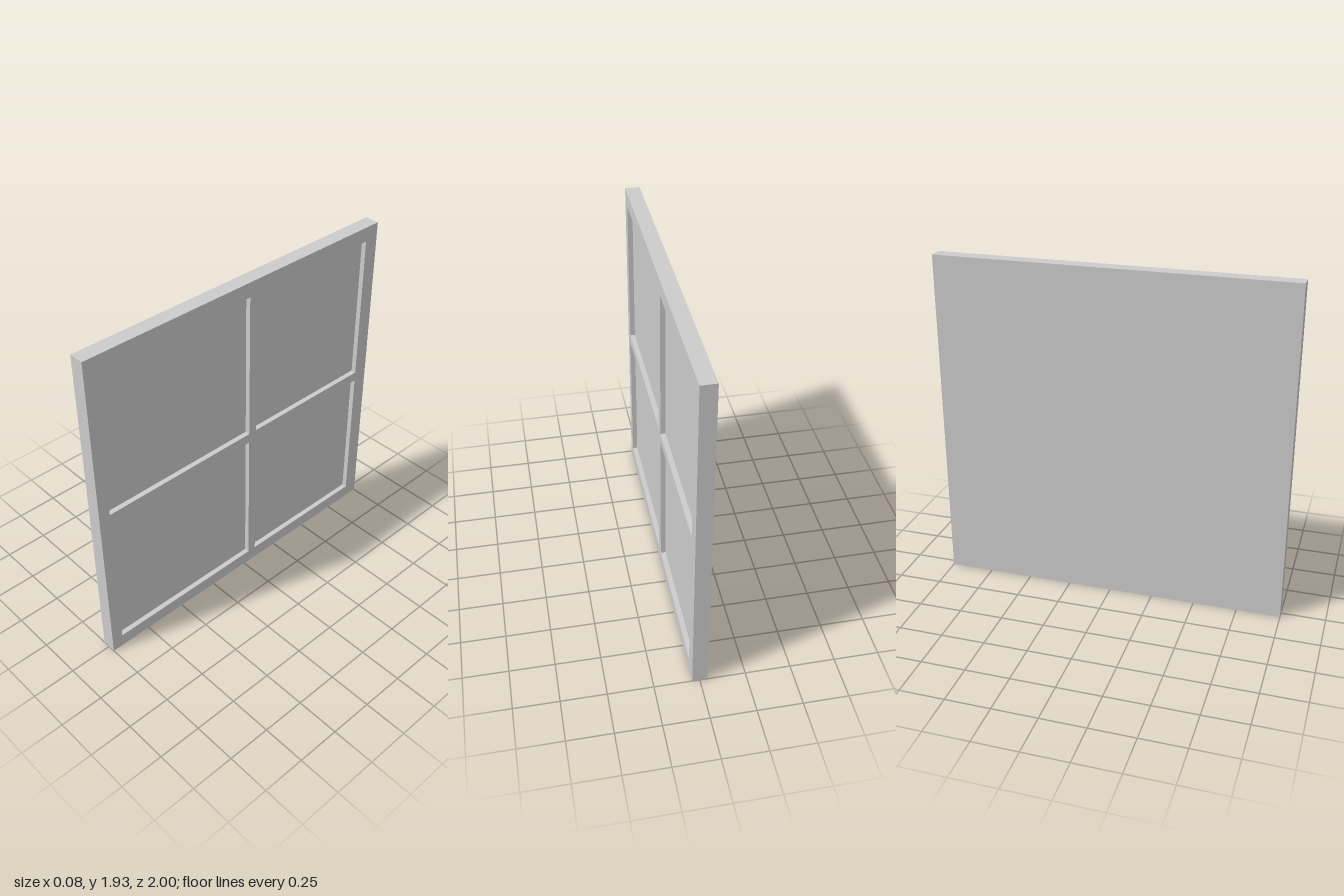
import * as THREE from 'three';

const HEIGHT = 1.93, WIDTH = 2, THICK = 0.084, DEPTH = 0.029;
const FACE_X = THICK / 2;

// Pane ranges: [min, max] along z and along y
const COLUMNS = [[-0.913, -0.088], [-0.035, 0.934]];
const ROWS = [[0.077, 0.918], [0.977, 1.845]];

// Box without its +x side; inward = true turns it into a recess seen from inside
function openBox(w, h, d, inward = false) {
  const geo = new THREE.BoxGeometry(w, h, d);
  const index = Array.from(geo.index.array).slice(6);
  geo.setIndex(inward ? index.reverse() : index);
  geo.computeVertexNormals();
  return geo;
}

function rectangle(path, u0, u1, v0, v1) {
  path.moveTo(u0, v0);
  path.lineTo(u1, v0);
  path.lineTo(u1, v1);
  path.lineTo(u0, v1);
  path.closePath();
  return path;
}

export function createModel() {
  const group = new THREE.Group();
  group.name = 'panelledWindow';
  const material = new THREE.MeshStandardMaterial({ color: 0xcccccc, flatShading: true });

  const add = (name, geometry, x = 0, y = 0, z = 0) => {
    const mesh = new THREE.Mesh(geometry, material);
    mesh.name = name;
    mesh.position.set(x, y, z);
    group.add(mesh);
  };

  // Outer slab: plain back and edges
  add('slab', openBox(THICK, HEIGHT, WIDTH), 0, HEIGHT / 2, 0);

  // Frame face with an opening per pane, and the recessed panes behind it
  const face = rectangle(new THREE.Shape(), -WIDTH / 2, WIDTH / 2, 0, HEIGHT);
  for (const [z0, z1] of COLUMNS) {
    for (const [y0, y1] of ROWS) {
      face.holes.push(rectangle(new THREE.Path(), -z1, -z0, y0, y1));
      add('recessedPane', openBox(DEPTH, y1 - y0, z1 - z0, true),
        FACE_X - DEPTH / 2, (y0 + y1) / 2, (z0 + z1) / 2);
    }
  }
  add('frameFace', new THREE.ShapeGeometry(face).rotateY(Math.PI / 2), FACE_X);

  return group;
}
